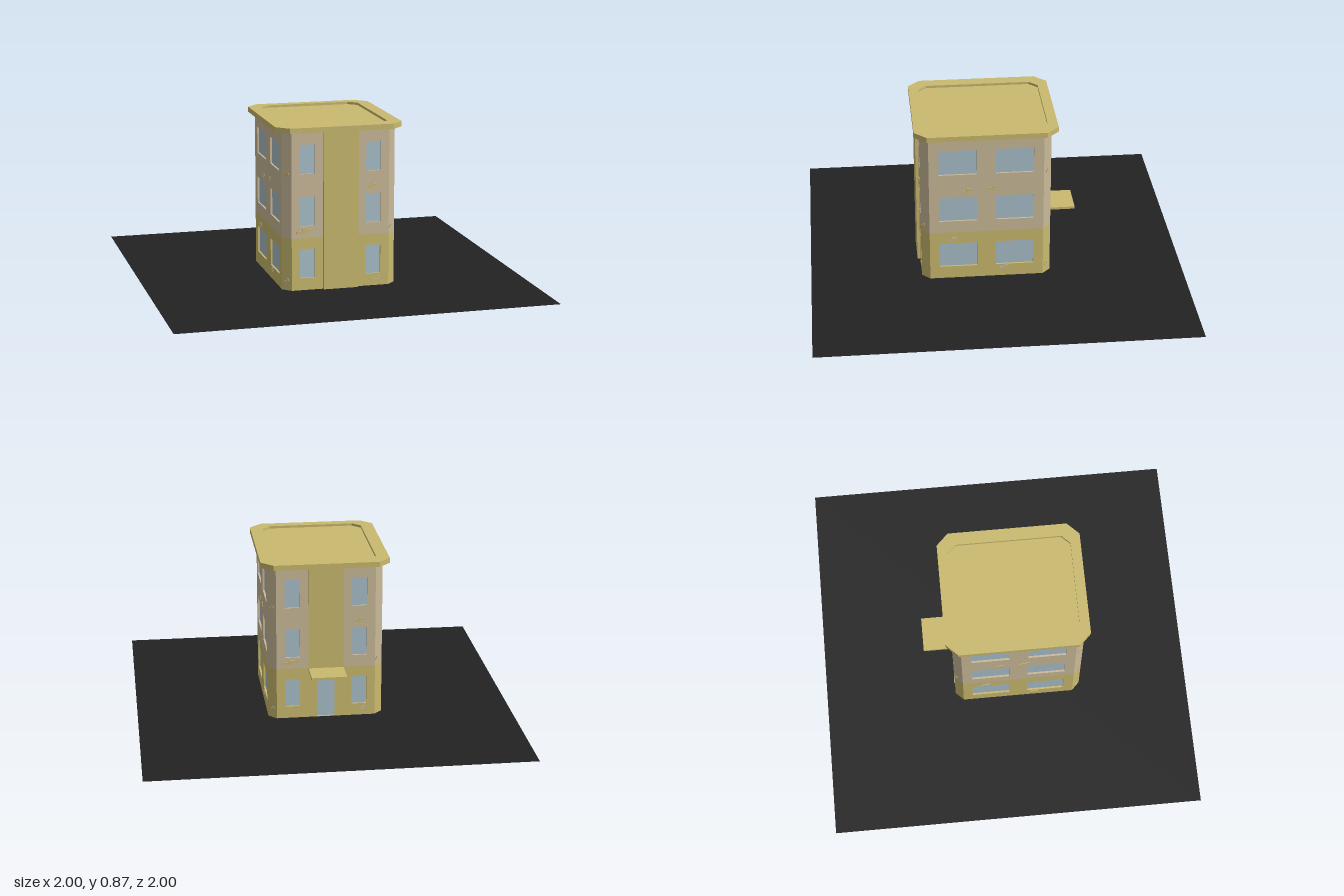
import * as THREE from 'three';

const mat = (name, color, side = THREE.FrontSide) => {
  const m = new THREE.MeshStandardMaterial({ color, side });
  m.name = name;
  return m;
};

export function createModel() {
  const ochre = mat('ochre', 0xc9b96f);
  const plaster = mat('plaster', 0xc9b999);
  const glass = mat('glass', 0xa9bfca);
  const asphalt = mat('asphalt', 0x222222, THREE.DoubleSide);

  const HALF_X = 0.305, HALF_Z = 0.345, CUT = 0.042;
  const BAND = 0.28, TOP = 0.84, THICK = 0.015;

  const model = new THREE.Group();
  const building = new THREE.Group();
  building.name = 'building';
  building.position.z = 0.06;
  model.add(building);

  const add = (parent, name, geometry, material, x = 0, y = 0, z = 0) => {
    const mesh = new THREE.Mesh(geometry, material);
    mesh.name = name;
    mesh.position.set(x, y, z);
    parent.add(mesh);
    return mesh;
  };
  const box = (parent, name, material, w, h, d, x, y, z) =>
    add(parent, name, new THREE.BoxGeometry(w, h, d), material, x, y, z);

  const polygon = (points, Type = THREE.Shape) => {
    const p = new Type();
    p.setFromPoints(points.map(([x, y]) => new THREE.Vector2(x, y)));
    p.closePath();
    return p;
  };
  const rect = ([x0, x1, y0, y1], Type) => polygon([[x0, y0], [x1, y0], [x1, y1], [x0, y1]], Type);

  // One storey band of wall, outer face at z = 0, with its openings cut out
  const wallBand = (parent, name, material, width, y0, y1, openings) => {
    const shape = rect([-width / 2, width / 2, y0, y1]);
    openings.filter((o) => o[2] >= y0 && o[3] <= y1)
      .forEach((o) => shape.holes.push(rect(o, THREE.Path)));
    add(parent, name, new THREE.ExtrudeGeometry(shape, { depth: THICK, bevelEnabled: false }),
      material, 0, 0, -THICK);
  };

  // Whole wall: painted base, plaster above, set-back panes, worn patches
  const wall = (name, width, distX, distZ, angle, openings, patches) => {
    const group = new THREE.Group();
    group.name = name;
    group.position.set(distX, 0, distZ);
    group.rotation.y = angle;
    building.add(group);
    wallBand(group, 'wallBase', ochre, width, 0, BAND, openings);
    wallBand(group, 'wallUpper', plaster, width, BAND, TOP, openings);
    openings.forEach(([x0, x1, y0, y1]) =>
      box(group, y0 < 0.01 ? 'door' : 'windowPane', glass, x1 - x0, y1 - y0, 0.005,
        (x0 + x1) / 2, (y0 + y1) / 2, -0.0125));
    patches.forEach(([x, y, w]) => {
      const m = y < BAND ? plaster : ochre;
      box(group, 'wornPatch', m, w * 0.65, 0.012, 0.004, x - w * 0.16, y - 0.005, 0.001);
      box(group, 'wornPatch', m, w * 0.6, 0.012, 0.0044, x + w * 0.2, y + 0.005, 0.001);
    });
    return group;
  };

  // Window layouts: three floors, two columns
  const floors = [0.065, 0.343, 0.62];
  const windows = (inner, outer, lift, height) => floors.flatMap((y) =>
    [[-outer, -inner, y + lift, y + lift + height], [inner, outer, y + lift, y + lift + height]]);
  const endWindows = windows(0.138, 0.218, 0, 0.156);
  const sideWindows = windows(0.05, 0.25, 0.005, 0.143);
  const door = [-0.047, 0.047, 0.002, 0.22];

  const endWidth = 2 * (HALF_X - CUT), sideWidth = 2 * (HALF_Z - CUT);
  const cutWidth = CUT * Math.SQRT2;
  const endPatches = [[0.17, 0.54, 0.05], [-0.195, 0.315, 0.09], [0.2, 0.042, 0.04]];
  const sidePatches = [[-0.18, 0.237, 0.05], [0.09, 0.052, 0.045], [-0.1, 0.53, 0.04], [0.03, 0.54, 0.06]];

  // Opposite sides repeat each other, turned half round
  for (const s of [1, -1]) {
    const turn = s > 0 ? 0 : Math.PI;
    const isBack = s < 0;
    wall(isBack ? 'backWall' : 'frontWall', endWidth, 0, s * HALF_Z, turn,
      isBack ? [...endWindows, door] : endWindows, endPatches);
    wall(isBack ? 'rightWall' : 'leftWall', sideWidth, s * HALF_X, 0, turn + Math.PI / 2,
      sideWindows, sidePatches);
    const cx = HALF_X - CUT / 2, cz = HALF_Z - CUT / 2;
    wall('cutCorner', cutWidth, s * cx, s * cz, turn + Math.PI / 4, [], [[-0.015, 0.317, 0.018]]);
    wall('cutCorner', cutWidth, -s * cx, s * cz, turn - Math.PI / 4, [],
      [[0, 0.62, 0.024], [0, 0.052, 0.024]]);
  }

  // Centre strips on front and back, entrance canopy
  box(building, 'frontPilaster', ochre, 0.187, TOP, 0.02, 0, TOP / 2, HALF_Z + 0.005);
  box(building, 'backPilaster', ochre, 0.187, TOP - BAND, 0.02, 0, (TOP + BAND) / 2, -HALF_Z - 0.002);
  box(building, 'entranceCanopy', ochre, 0.187, 0.013, 0.16, 0, 0.276, -0.42);

  // Roof slab with a raised rim
  const octagon = (x, z, c) => [[x - c, -z], [x, c - z], [x, z - c], [x - c, z],
    [c - x, z], [-x, z - c], [-x, c - z], [c - x, -z]];
  const slab = (name, shape, depth, y) => {
    const g = new THREE.ExtrudeGeometry(shape, { depth, bevelEnabled: false });
    add(building, name, g.rotateX(-Math.PI / 2), ochre, 0, y, -0.003);
  };
  slab('roofSlab', polygon(octagon(0.34, 0.377, 0.063)), 0.015, TOP);
  const rim = polygon(octagon(0.34, 0.377, 0.063));
  rim.holes.push(polygon(octagon(0.272, 0.324, 0.045), THREE.Path));
  slab('roofRim', rim, 0.013, TOP + 0.015);

  // Ground plate
  add(model, 'groundPlate', new THREE.PlaneGeometry(2, 2).rotateX(-Math.PI / 2), asphalt);

  return model;
}
